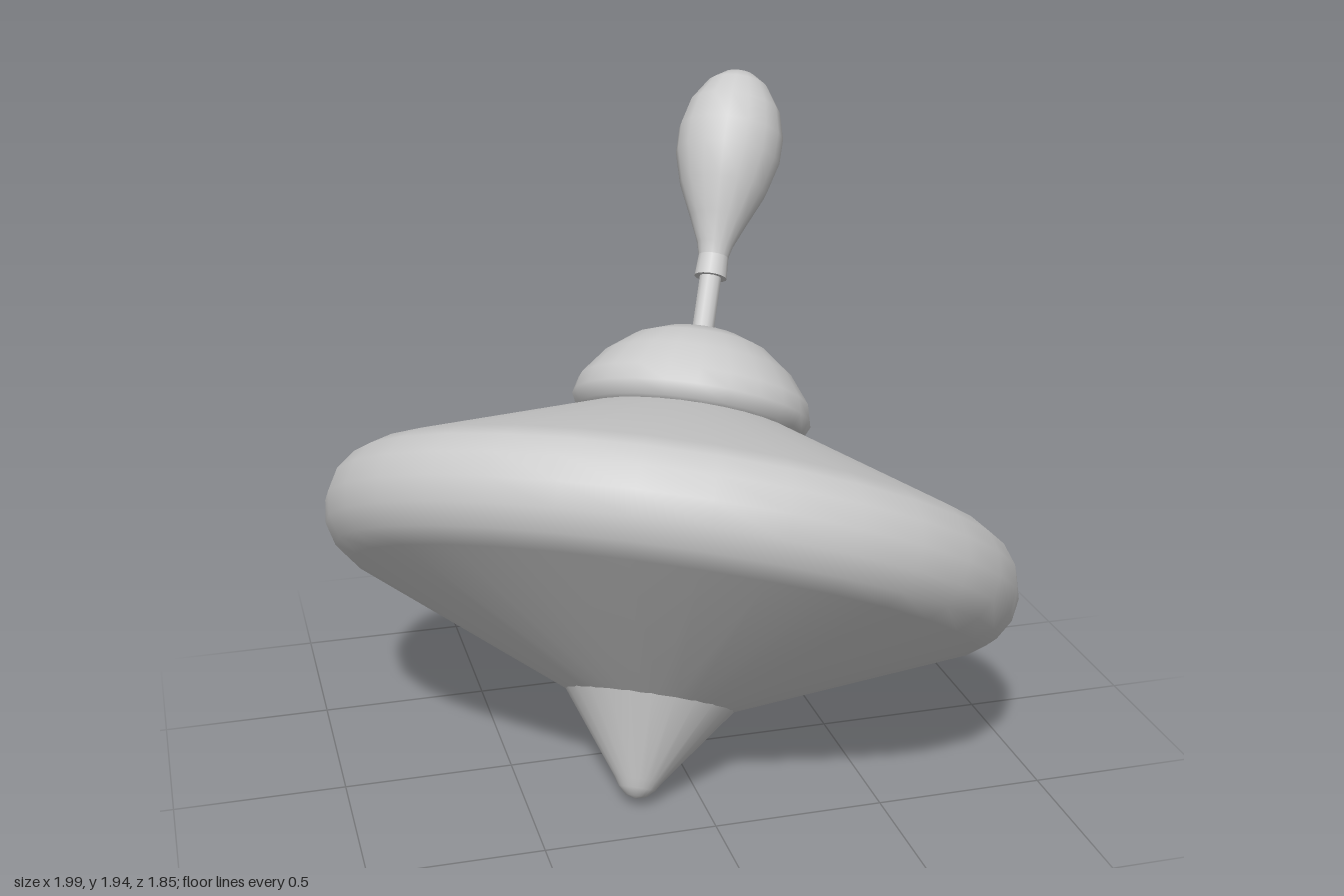
import * as THREE from 'three';

const material = new THREE.MeshStandardMaterial({ color: 0xcccccc });

// Turned part: profile of [radius, height] pairs from bottom to top
function turned(name, profile, sides) {
  const points = profile.map(([r, h]) => new THREE.Vector2(r, h));
  const mesh = new THREE.Mesh(new THREE.LatheGeometry(points, sides), material);
  mesh.name = name;
  return mesh;
}

export function createModel() {
  const model = new THREE.Group();
  model.name = 'spinningTop';

  // Everything turns around one leaning axis through the disc centre
  const axis = new THREE.Group();
  axis.name = 'leaningBody';
  axis.position.y = 0.645;
  axis.quaternion.setFromUnitVectors(
    new THREE.Vector3(0, 1, 0),
    new THREE.Vector3(0.273, 0.838, -0.471).normalize()
  );
  model.add(axis);

  // Wide disc: two shallow cones joined by a rounded rim
  const rim = [];
  for (let i = 0; i <= 6; i++) {
    const a = THREE.MathUtils.degToRad(-67 + (134 * i) / 6);
    rim.push([0.855 + 0.177 * Math.cos(a), 0.177 * Math.sin(a)]);
  }
  axis.add(turned('disc', [[0.2, -0.457], [0.26, -0.432], ...rim, [0.3, 0.41], [0, 0.45]], 32));

  // Pointed foot with a blunt end
  axis.add(turned('foot', [
    [0, -0.725], [0.03, -0.717], [0.054, -0.695], [0.07, -0.67], [0.255, -0.43]
  ], 24));

  // Domed cap with a rounded lip
  axis.add(turned('cap', [
    [0, 0.4], [0.31, 0.39], [0.345, 0.405], [0.364, 0.445], [0.352, 0.495],
    [0.29, 0.578], [0.21, 0.643], [0.13, 0.677], [0, 0.685]
  ], 24));

  // Thin stem
  const stem = new THREE.Mesh(new THREE.CylinderGeometry(0.034, 0.034, 0.25, 12), material);
  stem.name = 'stem';
  stem.position.y = 0.785;
  axis.add(stem);

  // Collar under the grip
  const collar = new THREE.Mesh(new THREE.CylinderGeometry(0.046, 0.05, 0.07, 16), material);
  collar.name = 'collar';
  collar.position.y = 0.9;
  axis.add(collar);

  // Bulb-shaped grip
  axis.add(turned('grip', [
    [0.046, 0.93], [0.056, 0.97], [0.09, 1.05], [0.135, 1.15], [0.162, 1.25],
    [0.163, 1.33], [0.142, 1.415], [0.095, 1.49], [0.05, 1.524], [0, 1.535]
  ], 16));

  return model;
}
